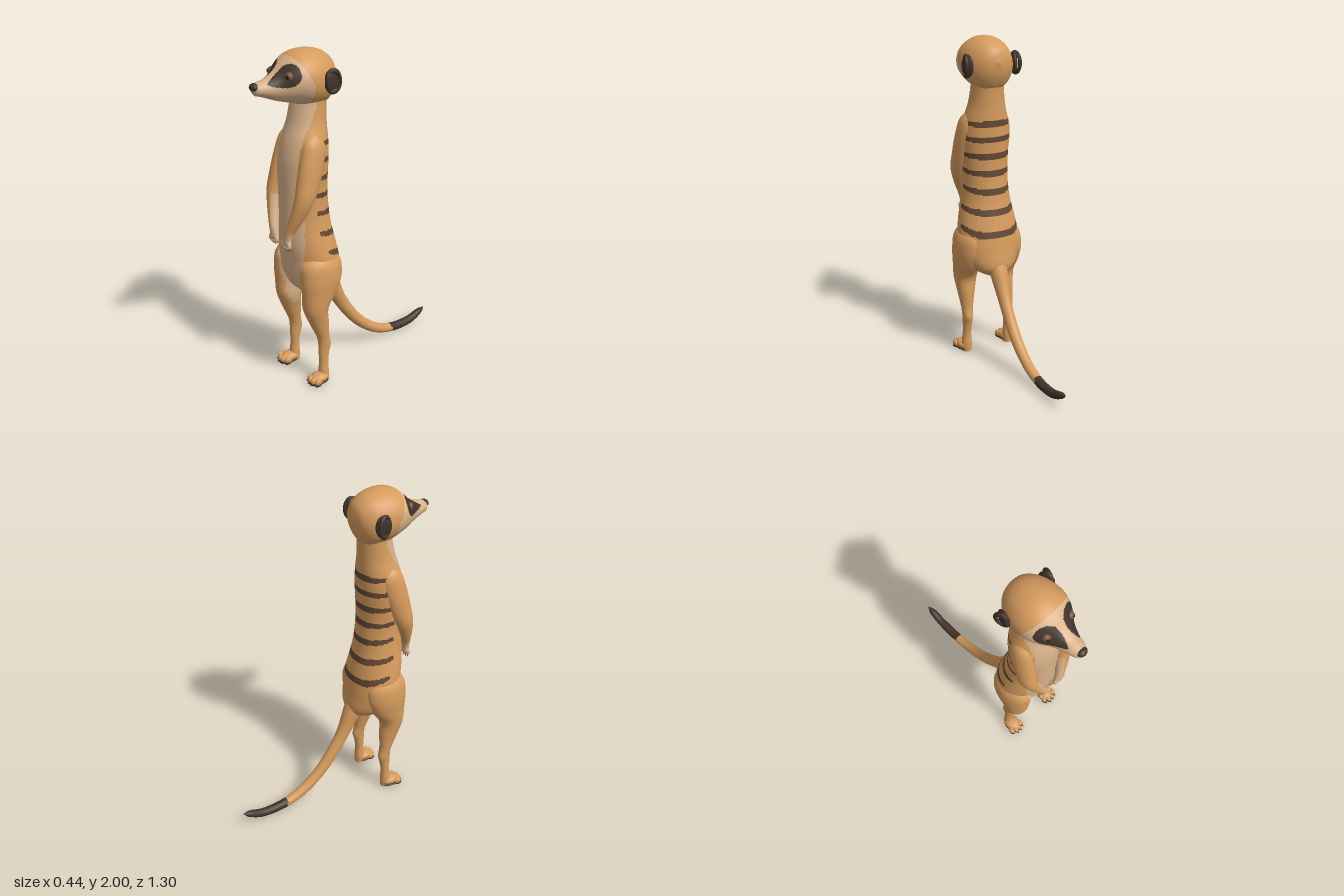
import * as THREE from 'three';

const mat = (name, color) => Object.assign(new THREE.MeshStandardMaterial({ color }), { name });
const fur = mat('fur', 0xd69b5d);
const cream = mat('cream', 0xd9b28a);
const dark = mat('darkBrown', 0x41332a);
const stripe = mat('stripeBrown', 0x644834);
const iris = mat('iris', 0x7a5330);
const black = mat('black', 0x1c1613);
const PAINTS = [fur, cream, dark, stripe];
const FUR = 0, CREAM = 1, DARK = 2, STRIPE = 3;

// Smooth loft through sections [x, y, z, radiusU, radiusV]; axis fixes the section plane,
// otherwise sections stand square to the path. paint(point) picks the colour of each face.
function loft(name, sections, rows, sides, axis, paint) {
  const path = new THREE.CatmullRomCurve3(sections.map(s => new THREE.Vector3(s[0], s[1], s[2])), false, 'catmullrom');
  const size = new THREE.CatmullRomCurve3(sections.map(s => new THREE.Vector3(s[3], s[4], 0)), false, 'catmullrom');
  const pts = [];
  for (let i = 0; i <= rows; i++) {
    const c = path.getPoint(i / rows), r = size.getPoint(i / rows);
    const t = axis || path.getTangent(i / rows);
    const u = new THREE.Vector3(1, 0, 0).addScaledVector(t, -t.x).normalize();
    const v = new THREE.Vector3().crossVectors(t, u);
    for (let j = 0; j < sides; j++) {
      const a = j / sides * Math.PI * 2;
      pts.push(c.clone().addScaledVector(u, Math.max(r.x, 0.0005) * Math.cos(a))
        .addScaledVector(v, Math.max(r.y, 0.0005) * Math.sin(a)));
    }
  }
  const lists = PAINTS.map(() => []);
  for (let i = 0; i < rows; i++) for (let j = 0; j < sides; j++) {
    const a = i * sides + j, b = i * sides + (j + 1) % sides, c = b + sides, d = a + sides;
    const mid = pts[a].clone().add(pts[b]).add(pts[c]).add(pts[d]).multiplyScalar(0.25);
    lists[paint(mid)].push(a, b, c, a, c, d);
  }
  const geo = new THREE.BufferGeometry().setFromPoints(pts);
  geo.setIndex(lists.flat());
  let start = 0;
  lists.forEach((l, k) => { if (l.length) geo.addGroup(start, l.length, k); start += l.length; });
  geo.computeVertexNormals();
  const mesh = new THREE.Mesh(geo, PAINTS);
  mesh.name = name;
  return mesh;
}

const ball = new THREE.SphereGeometry(1, 20, 14);
function ellipsoid(name, material, pos, scale, rot = [0, 0, 0]) {
  const m = new THREE.Mesh(ball, material);
  m.name = name;
  m.position.set(...pos);
  m.scale.set(...scale);
  m.rotation.set(...rot);
  return m;
}

// Half width of the pale front at height y
const BIB = [[0.45, 0.075], [0.6, 0.085], [0.75, 0.115], [0.9, 0.13], [1.05, 0.12], [1.2, 0.09], [1.4, 0.095], [1.6, 0.1], [1.8, 0.1]];
function bibWidth(y) {
  const i = Math.max(1, BIB.findIndex(b => b[0] >= y));
  const [a, b] = [BIB[i - 1], BIB[i]];
  return THREE.MathUtils.mapLinear(y, a[0], b[0], a[1], b[1]);
}
const isBib = p => p.y < 1.8 && p.z > 0.3 && Math.abs(p.x) < bibWidth(p.y);

// Back stripes: [height at spine, front reach in z, rise towards the sides]
const STRIPES = [[1.49, 0.31, 0.005], [1.395, 0.32, 0.01], [1.29, 0.325, 0.012], [1.185, 0.345, 0.015],
  [1.07, 0.345, 0.025], [0.945, 0.335, 0.03], [0.815, 0.29, 0.045]];
function paintTorso(p) {
  if (isBib(p) || (p.y < 0.56 && p.z > 0.2)) return CREAM;
  for (const [y, reach, rise] of STRIPES) {
    const t = (p.z - 0.17) / (reach - 0.17);
    if (t < 1 && Math.abs(p.y - y - rise * Math.max(t, 0)) < 0.021 - 0.009 * Math.max(t, 0)) return STRIPE;
  }
  return FUR;
}

// Pale face with dark slanted eye patches
function paintHead(p) {
  const x = Math.abs(p.x);
  const dx = (x - 0.077) / 0.056, dy = (p.y - 1.888 + (x - 0.077) * 0.25) / 0.056;
  if (p.z > 0.38 && dx * dx + dy * dy < 1) return DARK;
  return p.z > 0.345 + 0.45 * Math.max(0, p.y - 1.82) ? CREAM : FUR;
}

export function createModel() {
  const model = new THREE.Group();
  model.name = 'meerkat';
  const Y = new THREE.Vector3(0, 1, 0), Z = new THREE.Vector3(0, 0, 1);

  // Torso and neck: [y, half width, front z, back z]
  const torso = [[0.525, 0.002, 0.24, 0.2], [0.545, 0.07, 0.31, 0.15], [0.6, 0.15, 0.4, 0.115], [0.7, 0.193, 0.445, 0.125],
    [0.8, 0.195, 0.455, 0.14], [0.9, 0.178, 0.468, 0.16], [1, 0.156, 0.47, 0.18], [1.1, 0.144, 0.47, 0.19],
    [1.2, 0.143, 0.47, 0.197], [1.3, 0.148, 0.47, 0.195], [1.4, 0.152, 0.465, 0.19], [1.5, 0.14, 0.445, 0.188],
    [1.6, 0.112, 0.412, 0.188], [1.7, 0.1, 0.39, 0.185], [1.78, 0.1, 0.38, 0.175]];
  model.add(loft('torso', torso.map(([y, w, f, b]) => [0, y, (f + b) / 2, w, (f - b) / 2]), 210, 80, Y, paintTorso));

  // Head and muzzle: [z, top, bottom, half width]
  const head = [[0.13, 1.861, 1.859, 0.001], [0.15, 1.93, 1.77, 0.075], [0.2, 1.975, 1.695, 0.126], [0.27, 1.997, 1.685, 0.151],
    [0.34, 2, 1.695, 0.157], [0.4, 1.985, 1.715, 0.146], [0.45, 1.95, 1.73, 0.12], [0.5, 1.905, 1.745, 0.083],
    [0.55, 1.877, 1.765, 0.061], [0.6, 1.865, 1.785, 0.048], [0.63, 1.855, 1.795, 0.034], [0.645, 1.83, 1.826, 0.001]];
  model.add(loft('head', head.map(([z, t, b, w]) => [0, (t + b) / 2, z, w, (t - b) / 2]), 130, 96, Z, paintHead));
  model.add(ellipsoid('nose', dark, [0, 1.84, 0.63], [0.031, 0.022, 0.025]));

  // Tail with dark tip
  const tail = [[0, 0.68, 0.2, 0.07, 0.05], [0, 0.58, 0.155, 0.058, 0.055], [0, 0.4, 0.07, 0.038, 0.042], [0, 0.22, -0.06, 0.035, 0.036],
    [0, 0.1, -0.205, 0.032, 0.032], [0, 0.045, -0.35, 0.029, 0.028], [0, 0.04, -0.5, 0.027, 0.026],
    [0, 0.073, -0.6, 0.021, 0.02], [0, 0.092, -0.645, 0.001, 0.001]];
  model.add(loft('tail', tail, 80, 28, null, p => p.z < -0.345 ? DARK : FUR));

  const claw = new THREE.ConeGeometry(0.008, 0.035, 8);
  for (const s of [1, -1]) {
    const side = s > 0 ? 'left' : 'right';
    const add = (...meshes) => model.add(...meshes);

    // Eye and ear
    add(ellipsoid(side + 'Eye', iris, [s * 0.081, 1.884, 0.462], [0.025, 0.025, 0.025]),
      ellipsoid(side + 'Pupil', black, [s * 0.087, 1.885, 0.475], [0.013, 0.014, 0.013]));
    add(ellipsoid(side + 'Ear', dark, [s * 0.152, 1.84, 0.238], [0.02, 0.068, 0.048], [0, s * 0.25, 0]));
    const rim = new THREE.Mesh(new THREE.TorusGeometry(0.05, 0.013, 10, 28), dark);
    rim.name = side + 'EarRim';
    rim.position.set(s * 0.163, 1.84, 0.238);
    rim.rotation.y = Math.PI / 2 - s * 0.3;
    rim.scale.set(0.8, 1.15, 0.9);
    add(rim);

    // Arm folded down to the belly
    const arm = [[0.1, 1.57, 0.32, 0.002, 0.002], [0.108, 1.5, 0.33, 0.046, 0.065], [0.12, 1.4, 0.355, 0.055, 0.075],
      [0.128, 1.28, 0.39, 0.055, 0.07], [0.132, 1.19, 0.422, 0.05, 0.058], [0.112, 1.1, 0.452, 0.039, 0.045],
      [0.08, 1.01, 0.482, 0.028, 0.031], [0.064, 0.96, 0.492, 0.029, 0.023], [0.06, 0.925, 0.495, 0.034, 0.019],
      [0.059, 0.905, 0.495, 0.002, 0.002]].map(([x, ...r]) => [s * x, ...r]);
    add(loft(side + 'Arm', arm, 70, 32, null, p =>
      p.y < 0.99 || (p.y < 1.17 && Math.abs(p.x) < 0.07 + (p.y - 1) * 0.25) ? CREAM : FUR));

    // Leg
    const leg = [[0.148, 0, 0.32, 0.03, 0.035], [0.148, 0.05, 0.315, 0.033, 0.033], [0.147, 0.12, 0.312, 0.027, 0.028],
      [0.145, 0.19, 0.308, 0.028, 0.034], [0.145, 0.24, 0.302, 0.031, 0.041], [0.143, 0.3, 0.312, 0.037, 0.039],
      [0.138, 0.4, 0.335, 0.053, 0.06], [0.133, 0.5, 0.354, 0.072, 0.078], [0.135, 0.6, 0.325, 0.08, 0.115],
      [0.13, 0.7, 0.31, 0.09, 0.135], [0.118, 0.8, 0.31, 0.082, 0.12], [0.11, 0.89, 0.31, 0.002, 0.002]]
      .map(([x, ...r]) => [s * x, ...r]);
    add(loft(side + 'Leg', leg, 80, 36, Y, p => p.y > 0.45 && isBib(p) ? CREAM : FUR));

    // Foot with dark sole
    add(ellipsoid(side + 'Foot', fur, [s * 0.152, 0.035, 0.347], [0.046, 0.03, 0.062]),
      ellipsoid(side + 'Sole', dark, [s * 0.153, 0.012, 0.352], [0.046, 0.012, 0.064]));

    // Fingers, toes and claws
    for (let i = 0; i < 4; i++) {
      const o = i - 1.5, inner = Math.abs(o) < 1;
      add(ellipsoid(side + 'Finger', cream, [s * (0.06 + o * 0.02), inner ? 0.914 : 0.922, 0.499], [0.011, 0.022, 0.013]));
      const fingerClaw = new THREE.Mesh(claw, dark);
      fingerClaw.position.set(s * (0.06 + o * 0.021), inner ? 0.897 : 0.906, 0.497);
      fingerClaw.rotation.x = Math.PI + 0.25;
      fingerClaw.scale.set(1.2, 1, 1.2);
      const toeX = s * (0.155 + o * 0.026), toeZ = inner ? 0.398 : 0.385;
      add(ellipsoid(side + 'Toe', fur, [toeX, 0.03, toeZ], [0.015, 0.022, 0.025]),
        ellipsoid(side + 'ToePad', dark, [toeX, 0.013, toeZ + 0.004], [0.014, 0.013, 0.024]));
      const toeClaw = new THREE.Mesh(claw, dark);
      toeClaw.position.set(toeX, 0.02, toeZ + 0.022);
      toeClaw.rotation.x = Math.PI / 2 + 0.35;
      fingerClaw.name = toeClaw.name = side + 'Claw';
      add(fingerClaw, toeClaw);
    }
  }
  return model;
}
